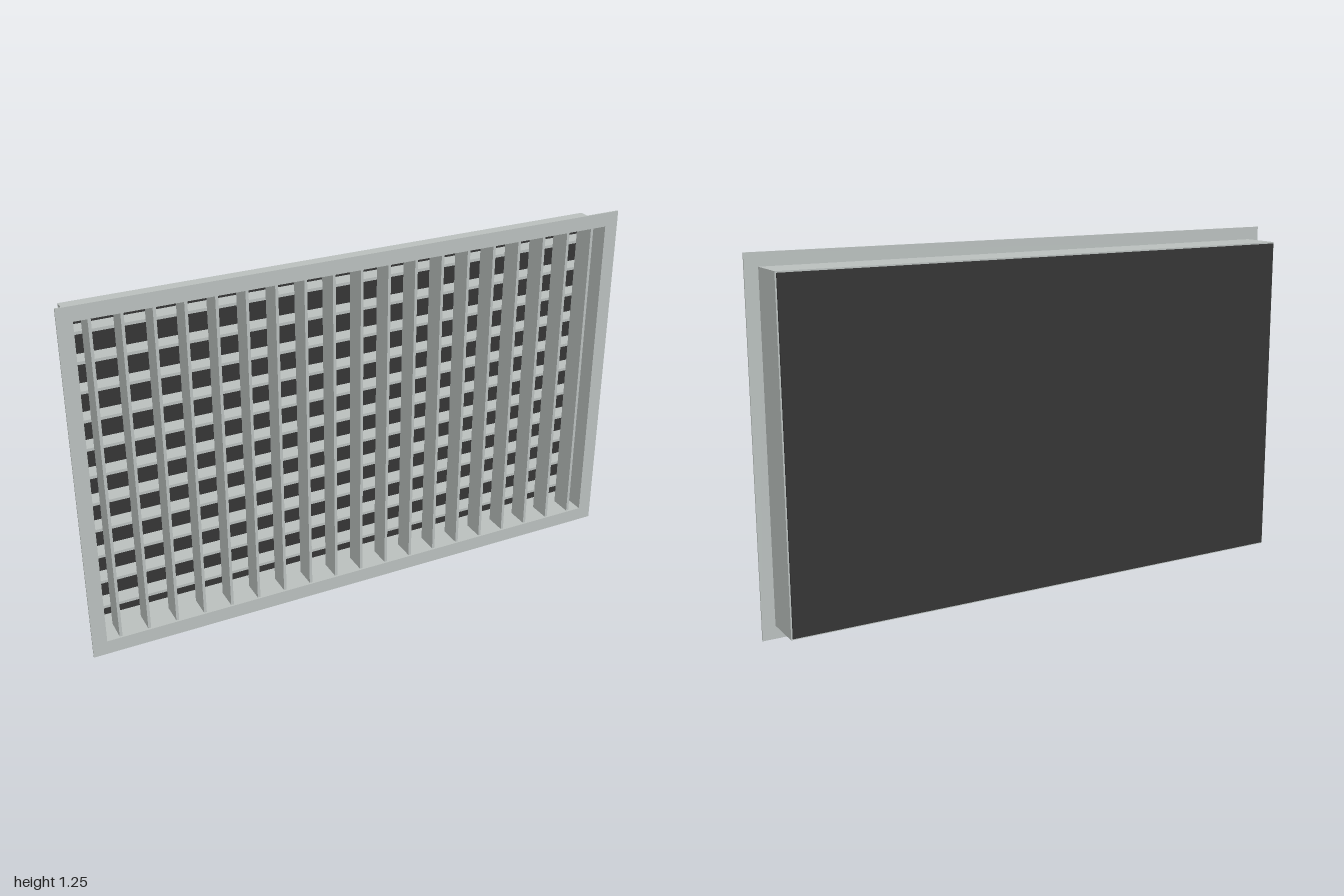
import * as THREE from 'three';

const paint = new THREE.MeshStandardMaterial({ name: 'light grey', color: 0xb9bfbd });
const dark = new THREE.MeshStandardMaterial({ name: 'dark grey', color: 0x343434 });

const MID_Y = 0.625;   // centre height of the grille
const OPEN_W = 1.9;    // clear opening
const OPEN_H = 1.15;
const SHEET = 0.005;   // sheet metal thickness

// Rectangular ring around the opening, from z0 towards the front
function ring(name, border, z0, depth) {
  const w = OPEN_W / 2, h = OPEN_H / 2;
  const rect = (Type, x, y) => new Type([
    new THREE.Vector2(-x, -y), new THREE.Vector2(x, -y),
    new THREE.Vector2(x, y), new THREE.Vector2(-x, y),
  ]);
  const shape = rect(THREE.Shape, w + border, h + border);
  shape.holes.push(rect(THREE.Path, w, h));
  const mesh = new THREE.Mesh(
    new THREE.ExtrudeGeometry(shape, { depth, bevelEnabled: false }), paint);
  mesh.name = name;
  mesh.position.set(0, MID_Y, z0);
  return mesh;
}

function box(name, material, size, position) {
  const mesh = new THREE.Mesh(new THREE.BoxGeometry(...size), material);
  mesh.name = name;
  mesh.position.set(...position);
  return mesh;
}

export function createModel() {
  const model = new THREE.Group();
  model.name = 'ventGrille';

  // Front flange, duct collar and closing panel
  model.add(ring('flange', 0.05, 0.0725, SHEET));
  model.add(ring('collar', SHEET, -0.0725, 0.145));
  model.add(box('backPanel', dark, [OPEN_W, OPEN_H, SHEET], [0, MID_Y, -0.075]));

  // Upright blades in front
  const uprights = new THREE.Group();
  uprights.name = 'verticalBlades';
  for (let i = -9; i <= 9; i++) {
    uprights.add(box('verticalBlade', paint, [0.01, OPEN_H, 0.08], [i * 0.1, MID_Y, 0.03]));
  }
  model.add(uprights);

  // Level blades behind them
  const levels = new THREE.Group();
  levels.name = 'horizontalBlades';
  for (let i = -5; i <= 5; i++) {
    levels.add(box('horizontalBlade', paint, [OPEN_W, 0.01, 0.06], [0, MID_Y + i * 0.1, -0.04]));
  }
  model.add(levels);

  return model;
}
